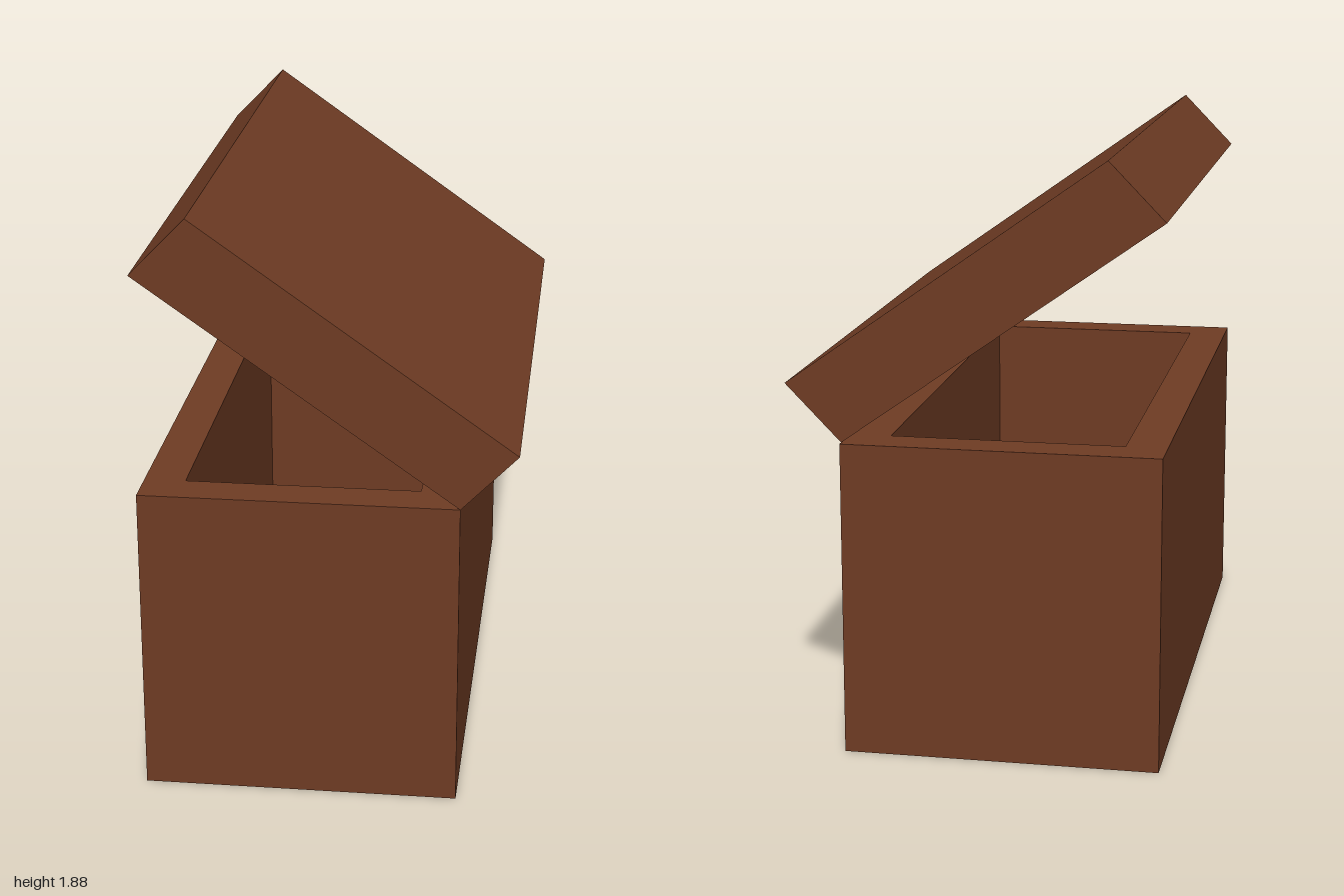
import * as THREE from 'three';

const LEFT = 0.41, RIGHT = -0.585;   // sides of the box along x
const HEIGHT = 1, LENGTH = 2, WALL = 0.13;

// Rectangle corners, counter-clockwise, moved inward by an inset
function rectangle(inset) {
  const x0 = RIGHT + inset, x1 = LEFT - inset, z = LENGTH / 2 - inset;
  return [[x0, -z], [x1, -z], [x1, z], [x0, z]].map(p => new THREE.Vector2(...p));
}

export function createModel() {
  const wood = new THREE.MeshStandardMaterial({ color: 0x6f3c24 });
  wood.name = 'brownWood';
  const model = new THREE.Group();
  model.name = 'openChest';

  function add(name, geometry, parent) {
    const mesh = new THREE.Mesh(geometry, wood);
    mesh.name = name;
    parent.add(mesh);
    return mesh;
  }

  const box = new THREE.Group();
  box.name = 'box';
  model.add(box);

  // Four walls with an open middle
  const ring = new THREE.Shape(rectangle(0));
  ring.holes.push(new THREE.Path(rectangle(WALL).reverse()));
  const walls = new THREE.ExtrudeGeometry(ring, { depth: HEIGHT, bevelEnabled: false });
  walls.rotateX(-Math.PI / 2);
  add('walls', walls, box);

  // Floor closing the bottom between the walls
  const floor = new THREE.BoxGeometry(LEFT - RIGHT - 2 * WALL, WALL, LENGTH - 2 * WALL);
  add('floor', floor, box).position.set((LEFT + RIGHT) / 2, WALL / 2, 0);

  // Slanted lid, hinged on the left top edge and slightly shorter at the back
  const profile = new THREE.Shape([
    [LEFT, HEIGHT], [0.585, 1.18], [-0.41, 1.885], [RIGHT, 1.705],
  ].map(p => new THREE.Vector2(...p)));
  const lid = new THREE.ExtrudeGeometry(profile, { depth: 1.98, bevelEnabled: false });
  add('lid', lid, model).position.z = -0.98;

  return model;
}
